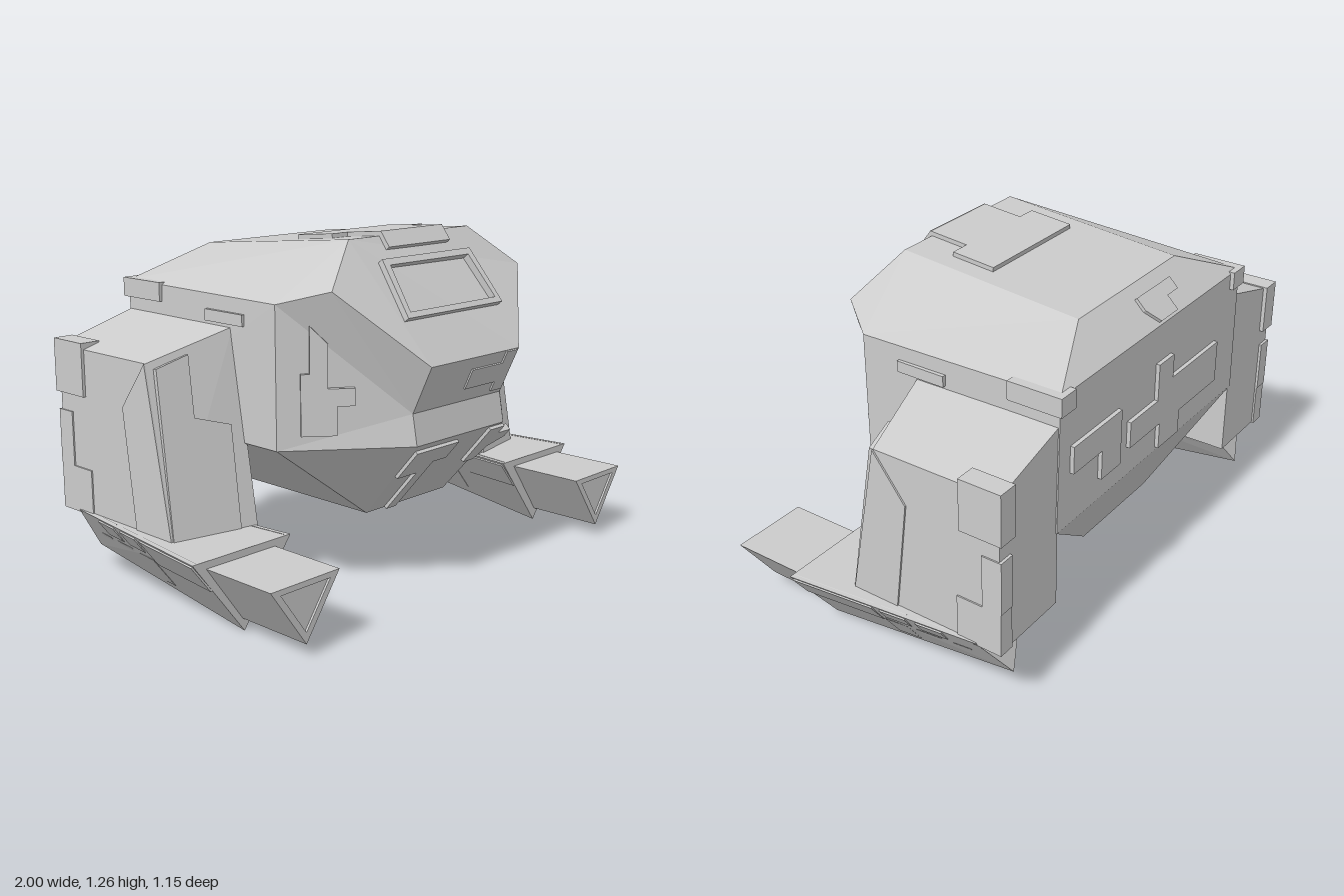
import * as THREE from 'three';
import { ConvexGeometry } from 'three/addons/geometries/ConvexGeometry.js';

const mat = new THREE.MeshStandardMaterial({ color: 0xcccccc, flatShading: true });
const V = (p) => new THREE.Vector3(...p);
const mx = ([x, y, z]) => [-x, y, z];

function mesh(name, geo) {
  const g = geo.index ? geo.toNonIndexed() : geo;
  const m = new THREE.Mesh(g, mat);
  m.name = name;
  return m;
}

// Flat-faced solid from polygons, each turned to face away from the centre
function solid(name, faces, centre) {
  const pos = [];
  for (const f of faces) {
    const p = f.map(V);
    const mid = p.reduce((a, b) => a.add(b), new THREE.Vector3()).divideScalar(p.length).sub(centre);
    const n = p[1].clone().sub(p[0]).cross(p[2].clone().sub(p[0]));
    if (n.dot(mid) < 0) p.reverse();
    for (let i = 1; i < p.length - 1; i++) {
      for (const q of [p[0], p[i], p[i + 1]]) pos.push(q.x, q.y, q.z);
    }
  }
  const g = new THREE.BufferGeometry();
  g.setAttribute('position', new THREE.Float32BufferAttribute(pos, 3));
  g.computeVertexNormals();
  return mesh(name, g);
}

const hull = (name, pts) => mesh(name, new ConvexGeometry(pts.map(V)));

function box(name, x0, x1, y0, y1, z0, z1) {
  const g = new THREE.BoxGeometry(x1 - x0, y1 - y0, z1 - z0);
  return mesh(name, g.translate((x0 + x1) / 2, (y0 + y1) / 2, (z0 + z1) / 2));
}

// Raised panel on a plane: p0 is the origin, p1 lies along u, p2 on the v side
function panel(name, [p0, p1, p2], outline, height = 0.012, hole = null) {
  const o = V(p0);
  const u = V(p1).sub(o).normalize();
  const n = u.clone().cross(V(p2).sub(o)).normalize();
  const shape = new THREE.Shape(outline.map((q) => new THREE.Vector2(...q)));
  if (hole) shape.holes.push(new THREE.Path(hole.map((q) => new THREE.Vector2(...q))));
  const g = new THREE.ExtrudeGeometry(shape, { depth: height + 0.015, bevelEnabled: false });
  g.translate(0, 0, -0.015);
  g.applyMatrix4(new THREE.Matrix4().makeBasis(u, n.clone().cross(u), n).setPosition(o));
  return mesh(name, g);
}

const rect = (a, b, c, d) => [[a, c], [b, c], [b, d], [a, d]];

// Mirror across x, swapping corners so faces still point outward
function mirrored(m) {
  const g = m.geometry.clone().scale(-1, 1, 1);
  const p = g.attributes.position;
  for (let i = 0; i < p.count; i += 3) {
    const b = new THREE.Vector3().fromBufferAttribute(p, i + 1);
    const c = new THREE.Vector3().fromBufferAttribute(p, i + 2);
    p.setXYZ(i + 1, c.x, c.y, c.z);
    p.setXYZ(i + 2, b.x, b.y, b.z);
  }
  g.computeVertexNormals();
  return mesh(m.name, g);
}

function buildBody() {
  const body = new THREE.Group();
  body.name = 'body';
  // Corners of the left half
  const T1 = [0.31, 1.245, 0.27], T2 = [0.31, 1.18, -0.44];
  const A = [0.49, 1.1, 0.37], B = [0.6, 1.055, 0.22], B2 = [0.59, 1.06, -0.56];
  const N1 = [0.235, 0.845, 0.575], N2 = [0.235, 0.675, 0.495], N3 = [0.235, 0.565, 0.515];
  const C = [0.6, 0.565, 0.22], C2 = [0.6, 0.565, -0.56];
  const D = [0.21, 0.27, 0.26], D2 = [0.21, 0.27, -0.42];
  const sides = [[T1, T2, B2, B], [T1, A, B], [A, N1, N2], [A, N2, B], [B, N2, C], [N2, N3, C],
    [B, B2, C2, C], [N3, C, D], [C, C2, D2, D]];
  const across = [[T1, T2], [N1, N2], [N2, N3], [N3, D], [D, D2], [D2, C2], [C2, B2], [B2, T2]]
    .map(([a, b]) => [a, b, mx(b), mx(a)]);
  body.add(solid('hull', [...sides, ...sides.map((f) => f.map(mx)), ...across,
    [T1, A, N1, mx(N1), mx(A), mx(T1)]], new THREE.Vector3(0, 0.7, 0)));

  // Roof hatch and windscreen
  const roof = [[0, 1.245, 0.27], [1, 1.245, 0.27], [0, 1.18, -0.44]];
  body.add(panel('roofHatch', roof, [[-0.16, -0.01], [0.16, -0.01], [0.16, 0.15], [0.235, 0.15],
    [0.235, 0.32], [-0.235, 0.32], [-0.235, 0.15], [-0.16, 0.15]], 0.016));
  const brow = [[0, 1.245, 0.27], [1, 1.245, 0.27], [0, 1.645, -0.035]];
  body.add(panel('roofHatchLip', brow, rect(-0.16, 0.16, -0.055, 0.01), 0.016));
  body.add(panel('windscreenFrame', brow,
    [[-0.25, -0.327], [0.25, -0.327], [0.23, -0.1], [-0.23, -0.1]], 0.022,
    [[-0.225, -0.305], [-0.205, -0.125], [0.205, -0.125], [0.225, -0.305]]));

  // Nose and chin panels
  const nose = [[0, 0.845, 0.575], [1, 0.845, 0.575], [0, 1.015, 0.655]];
  body.add(panel('nosePanel', nose, [[0, -0.05], [0.165, -0.05], [0.165, -0.002], [0.225, -0.002],
    [0.225, -0.17], [0.165, -0.17], [0.165, -0.13], [0, -0.13]], 0.006));
  const chin = [[0, 0.565, 0.515], [1, 0.565, 0.515], [0, 0.86, 0.77]];
  body.add(panel('chinPanel', chin, [[-0.22, -0.03], [0, -0.03], [0, -0.12], [-0.07, -0.12],
    [-0.07, -0.385], [-0.12, -0.385], [-0.12, -0.17], [-0.22, -0.17]]));
  body.add(panel('chinPanel', chin, [[0.16, -0.01], [0.24, -0.01], [0.24, -0.05], [0.31, -0.05],
    [0.31, -0.09], [0.24, -0.13], [0.22, -0.2], [0.16, -0.2]]));
  body.add(panel('cheekPanel', [mx(C), mx(N3), mx(B)], [[0.08, 0.05], [0.2, 0.05], [0.2, 0.15],
    [0.26, 0.15], [0.26, 0.21], [0.17, 0.21], [0.17, 0.36], [0.11, 0.42], [0.11, 0.26], [0.08, 0.26]]));

  // Rear and belly panels
  const rear = [[0, 0, -0.56], [-1, 0, -0.56], [0, 1, -0.56]];
  body.add(panel('rearHookPanel', rear, [[-0.53, 0.76], [-0.53, 0.86], [-0.24, 0.86], [-0.24, 0.65],
    [-0.36, 0.65], [-0.36, 0.76]], 0.015));
  body.add(panel('rearCrossPanel', rear, [[-0.18, 0.68], [-0.18, 0.78], [0, 0.78], [0, 0.92],
    [0.1, 0.92], [0.1, 0.83], [0.43, 0.83], [0.43, 0.67], [0.16, 0.67], [0.16, 0.58], [0.02, 0.58],
    [0.02, 0.68]], 0.015));
  const rearSlope = [[0, 1.18, -0.44], [-1, 1.18, -0.44], [0, 1.3, -0.32]];
  body.add(panel('rearSlopePanel', rearSlope, [[-0.02, -0.05], [0.2, -0.05], [0.2, -0.1],
    [0.13, -0.1], [0.13, -0.16], [0.02, -0.16], [-0.02, -0.1]]));
  const belly = [[0, 0.27, 0], [1, 0.27, 0], [0, 0.27, 1]];
  body.add(panel('bellyPanel', belly, [[-0.17, -0.3], [0.02, -0.3], [0.02, -0.2], [-0.08, -0.2],
    [-0.08, 0.05], [0.14, 0.05], [0.14, 0.15], [-0.17, 0.15]]));

  // Shoulder blocks and side vents
  for (const m of [box('shoulderBlock', 0.525, 0.606, 1.0, 1.068, -0.575, -0.37),
    box('sideVent', 0.58, 0.61, 0.965, 1.005, -0.12, 0.07)]) body.add(m, mirrored(m));
  return body;
}

function legParts() {
  // Upper leg corners
  const IB = [0.59, 0.28, 0.11], OB = [0.905, 0.28, 0.045];
  const IT = [0.59, 0.955, 0], OT = [0.905, 0.865, -0.07];
  const back = ([x, y]) => [x, y, -0.555];
  const parts = [hull('upperLeg', [IB, OB, IT, OT, ...[IB, OB, IT, OT].map(back)])];
  parts.push(panel('legFrontPanel', [IB, OB, IT], [[0.066, 0], [0.32, 0], [0.32, 0.575], [0.2, 0.61],
    [0.2, 0.4], [0.066, 0.36]], 0.006));
  parts.push(panel('legOuterPanel', [OB, [0.905, 0.28, -1], OT],
    [[0, 0], [0.185, 0], [0.24, 0.42], [0.115, 0.585]], 0.006));
  parts.push(box('legCornerBlock', 0.84, 0.916, 0.7, 0.888, -0.57, -0.41));
  parts.push(box('legCornerStrip', 0.85, 0.91, 0.44, 0.635, -0.565, -0.49));
  parts.push(box('legCornerBlock', 0.85, 0.91, 0.275, 0.44, -0.562, -0.39));

  // Triangular foot and toe
  const F = [1.0, 0.285, 0.26], G = [0.58, 0.285, 0.26], K = [0.79, 0.005, 0.26];
  const F2 = [0.915, 0.285, -0.465], G2 = [0.665, 0.285, -0.465];
  parts.push(hull('foot', [F, G, K, F2, G2, [0.79, 0.11, -0.525]]));
  const toe = [[0.65, 0.26], [0.945, 0.26], [0.797, 0.05]];
  parts.push(hull('toe', toe.flatMap(([x, y]) => [[x, y, 0], [x, y, 0.55]])));
  const inset = (s) => toe.map(([x, y]) => [0.797 + (x - 0.797) * s, 0.19 + (y - 0.19) * s]);
  const front = [[0, 0, 0.55], [1, 0, 0.55], [0, 1, 0.55]];
  parts.push(panel('toeFrame', front, inset(1), 0.008, inset(0.72).reverse()));

  // Plates along both slanted sides of the foot
  const up = (p) => p.map((c, i) => 2 * c - K[i]);
  const plates = [rect(0.01, 0.33, -0.13, -0.01), rect(0.34, 0.43, -0.25, -0.11),
    rect(0.36, 0.46, -0.08, -0.01), rect(0.47, 0.57, -0.22, -0.1), rect(0.5, 0.6, -0.08, -0.01),
    rect(0.61, 0.68, -0.19, -0.1)];
  for (const p of plates) {
    parts.push(panel('footPlate', [F, F2, up(F)], p, 0.006));
    const flipped = p.map(([u, v]) => [-u, v]).reverse();
    const ahead = G.map((c, i) => 2 * c - G2[i]);
    parts.push(panel('footPlate', [G, ahead, up(G)], flipped, 0.006));
  }
  return parts;
}

export function createModel() {
  const model = new THREE.Group();
  model.name = 'walkerPod';
  const left = new THREE.Group(), right = new THREE.Group();
  left.name = 'leftLeg';
  right.name = 'rightLeg';
  for (const part of legParts()) {
    left.add(part);
    right.add(mirrored(part));
  }
  model.add(buildBody(), left, right);
  return model;
}
